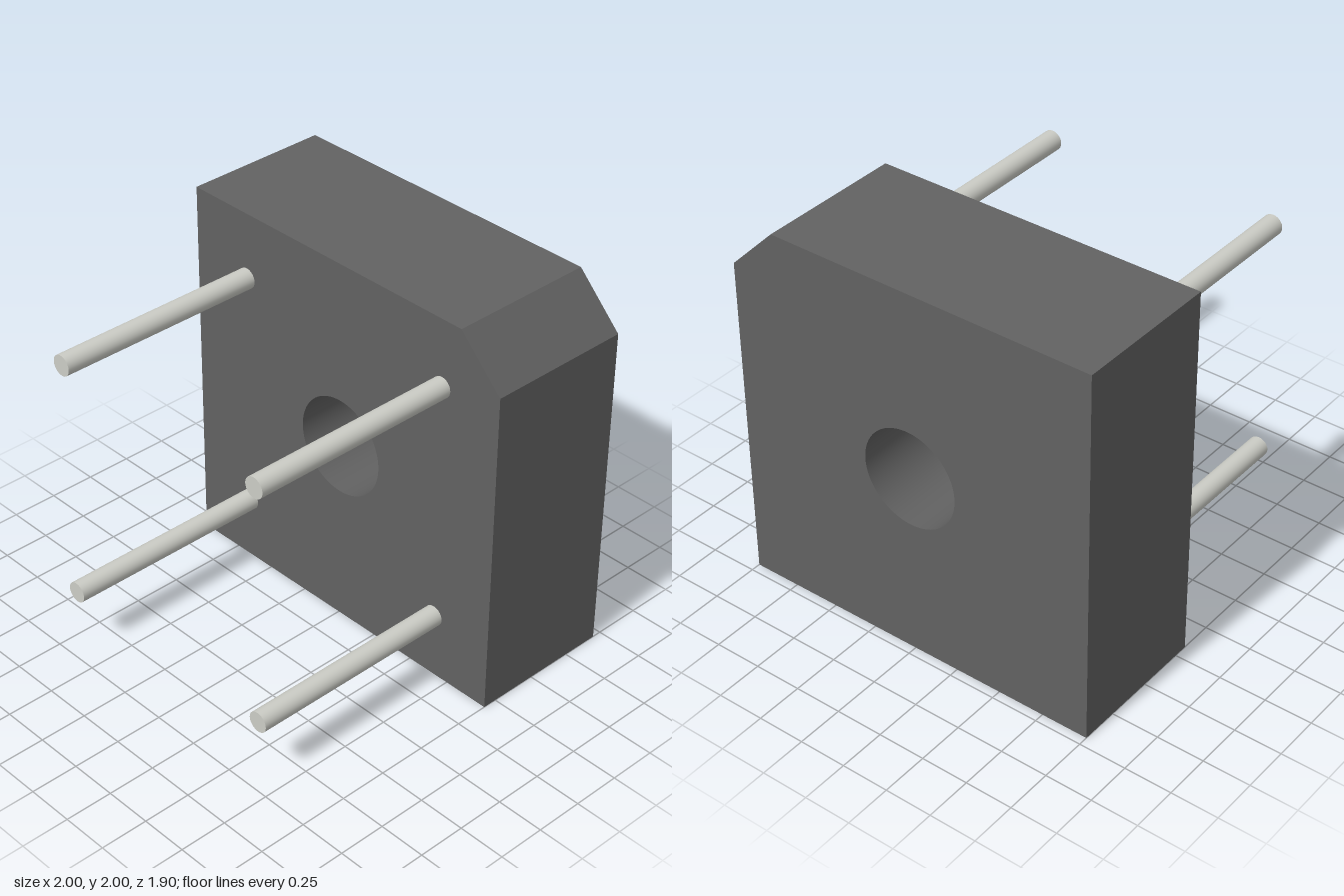
import * as THREE from 'three';
import { toCreasedNormals } from 'three/addons/utils/BufferGeometryUtils.js';

const BACK = -0.95, FACE = -0.175, TIP = 0.95;

export function createModel() {
  const model = new THREE.Group();
  model.name = 'bridgeRectifier';
  const bodyMaterial = new THREE.MeshStandardMaterial({ color: 0x626262 });
  const pinMaterial = new THREE.MeshStandardMaterial({ color: 0xcccdc6 });

  // Square block with one chamfered corner and a round mounting hole
  const outline = new THREE.Shape([
    [-1, 0], [1, 0], [1, 1.755], [0.755, 2], [-1, 2],
  ].map(([x, y]) => new THREE.Vector2(x, y)));
  const hole = new THREE.Path();
  hole.absarc(0, 1, 0.26, 0, Math.PI * 2, true);
  outline.holes.push(hole);
  const block = new THREE.ExtrudeGeometry(outline, {
    depth: FACE - BACK, bevelEnabled: false, curveSegments: 48,
  });
  block.translate(0, 0, BACK);
  const body = new THREE.Mesh(toCreasedNormals(block, Math.PI / 6), bodyMaterial);
  body.name = 'body';
  model.add(body);

  // Four round pins standing out of the front face
  const pinGeometry = new THREE.CylinderGeometry(0.054, 0.054, TIP - FACE, 32);
  pinGeometry.rotateX(Math.PI / 2);
  const pins = new THREE.Group();
  pins.name = 'pins';
  for (const x of [-0.648, 0.648]) {
    for (const y of [0.352, 1.648]) {
      const pin = new THREE.Mesh(pinGeometry, pinMaterial);
      pin.name = (y > 1 ? 'upper' : 'lower') + (x > 0 ? 'Left' : 'Right') + 'Pin';
      pin.position.set(x, y, (TIP + FACE) / 2);
      pins.add(pin);
    }
  }
  model.add(pins);
  return model;
}
